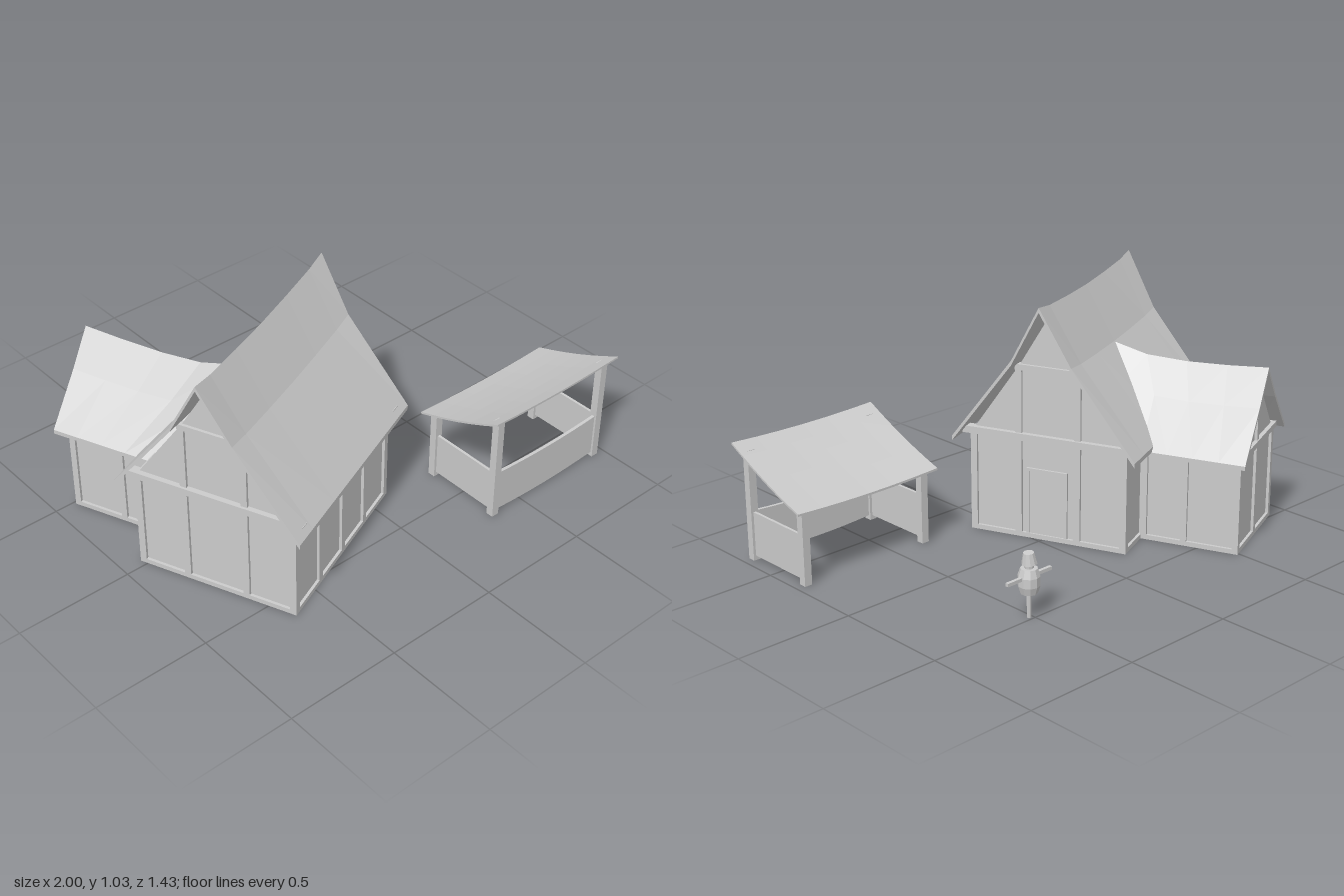
import * as THREE from 'three';

const mat = new THREE.MeshStandardMaterial({ color: 0xcccccc, flatShading: true });
const roofMat = new THREE.MeshStandardMaterial({ color: 0xcccccc, flatShading: true, side: THREE.DoubleSide });

function add(parent, name, geometry, x = 0, y = 0, z = 0, material = mat) {
  const mesh = new THREE.Mesh(geometry, material);
  mesh.name = name;
  mesh.position.set(x, y, z);
  parent.add(mesh);
  return mesh;
}

// Box given by its lower and upper corner
function bar(parent, name, x0, x1, y0, y1, z0, z1) {
  const g = new THREE.BoxGeometry(Math.abs(x1 - x0), y1 - y0, Math.abs(z1 - z0));
  return add(parent, name, g, (x0 + x1) / 2, (y0 + y1) / 2, (z0 + z1) / 2);
}

// Closed sheet of thickness t over a grid of points; at(i, j) gives [x, y, z]
function sheet(nx, nz, t, at) {
  const pos = [], idx = [], layer = (nx + 1) * (nz + 1);
  for (const drop of [0, t])
    for (let i = 0; i <= nx; i++)
      for (let j = 0; j <= nz; j++) {
        const [x, y, z] = at(i, j);
        pos.push(x, y - drop, z);
      }
  const id = (i, j) => i * (nz + 1) + j;
  const quad = (a, b, c, d) => idx.push(a, b, c, a, c, d);
  for (let i = 0; i < nx; i++)
    for (let j = 0; j < nz; j++) {
      const [a, b, c, d] = [id(i, j), id(i, j + 1), id(i + 1, j + 1), id(i + 1, j)];
      quad(a, b, c, d);
      quad(d + layer, c + layer, b + layer, a + layer);
    }
  const rim = (a, b) => quad(a, a + layer, b + layer, b);
  for (let i = 0; i < nx; i++) {
    rim(id(i, nz), id(i + 1, nz));
    rim(id(i + 1, 0), id(i, 0));
  }
  for (let j = 0; j < nz; j++) {
    rim(id(0, j), id(0, j + 1));
    rim(id(nx, j + 1), id(nx, j));
  }
  const g = new THREE.BufferGeometry();
  g.setAttribute('position', new THREE.Float32BufferAttribute(pos, 3));
  g.setIndex(idx);
  g.computeVertexNormals();
  return g;
}

// Solid house body: gabled section in x/y, extruded along z
function gabledBody(half, eave, kinkX, kinkY, apex, length) {
  const s = new THREE.Shape([[-half, 0], [half, 0], [half, eave], [kinkX, kinkY], [0, apex], [-kinkX, kinkY], [-half, eave]]
    .map(([x, y]) => new THREE.Vector2(x, y)));
  return new THREE.ExtrudeGeometry(s, { depth: length, bevelEnabled: false });
}

function mainHall(house) {
  const A = 0.406, B = 0.347, W = 0.028, R = 0.012;
  const body = gabledBody(B - R, 0.45, 0.125, 0.755, 0.965, 2 * (A - R));
  body.translate(0, 0, -(A - R)).rotateY(Math.PI / 2);
  add(house, 'hallWalls', body);

  // Long walls: five posts, sill and top plate
  for (const s of [-1, 1]) {
    for (let k = -2; k <= 2; k++) {
      const x = k * (A - W / 2) / 2;
      bar(house, 'wallPost', x - W / 2, x + W / 2, 0, 0.43, s * (B - W), s * B);
    }
    bar(house, 'sill', -A, A, 0, 0.02, s * (B - W), s * B);
    bar(house, 'topPlate', -A, A, 0.41, 0.44, s * (B - W), s * B);
  }
  // Gable ends: posts, sill, tie beam and collar beam
  for (const s of [-1, 1]) {
    const x0 = s * (A - W), x1 = s * A;
    bar(house, 'gableSill', x0, x1, 0, 0.02, -B, B);
    bar(house, 'tieBeam', x0, s * (A + 0.01), 0.43, 0.46, -0.38, 0.38);
    bar(house, 'collarBeam', x0, x1, 0.73, 0.755, -0.145, 0.145);
    for (const z of [-0.13, 0.13])
      bar(house, 'gablePost', x0, x1, 0, 0.74, z - W / 2, z + W / 2);
  }
  // Door with its frame
  bar(house, 'door', A - W, A - 0.007, 0.02, 0.3, -0.08, 0.09);
  for (const z of [-0.08, 0.09])
    bar(house, 'doorJamb', A - W, A - 0.002, 0.02, 0.31, z - 0.006, z + 0.006);
  bar(house, 'doorHead', A - W, A - 0.002, 0.298, 0.31, -0.08, 0.09);

  // Sagging, flared saddle roof
  const profile = [[-0.405, 0.43, 0.475, 0], [-0.13, 0.79, 0.475, 0.02], [0, 1.03, 0.497, 0.03], [0.13, 0.79, 0.475, 0.02], [0.4, 0.43, 0.475, 0]];
  const along = [-1, -0.78, -0.4, 0, 0.4, 0.78, 1];
  const sag = [0, 0.55, 0.85, 1, 0.85, 0.55, 0];
  add(house, 'hallRoof', sheet(6, 4, 0.02, (i, j) => {
    const [z, y, half, drop] = profile[j];
    return [along[i] * half, y - drop * sag[i], z];
  }), 0, 0, 0, roofMat);
}

function rearWing(house) {
  const H = 0.228, E = -0.768, W = 0.026, R = 0.012;
  add(house, 'wingWalls', gabledBody(H - R, 0.43, 0.11, 0.56, 0.685, 0.5), 0, 0, E + R);
  // Side walls
  for (const s of [-1, 1]) {
    for (const z of [E, -0.545, -0.37])
      bar(house, 'wingPost', s * (H - W), s * H, 0, 0.42, z, z + W);
    bar(house, 'wingSill', s * (H - W), s * H, 0, 0.02, E, -0.3);
    bar(house, 'wingTopPlate', s * (H - W), s * H, 0.4, 0.425, E, -0.3);
  }
  // Rear gable
  bar(house, 'wingGableSill', -H, H, 0, 0.02, E, E + W);
  bar(house, 'wingTieBeam', -H - 0.02, H + 0.02, 0.4, 0.425, E - 0.006, E + W);
  bar(house, 'wingKingPost', -W / 2, W / 2, 0, 0.68, E, E + W);

  // Roof running into the main roof slope
  const across = [[-0.28, 0.41, 0], [-0.11, 0.6, 0.7], [0, 0.74, 1], [0.11, 0.6, 0.7], [0.28, 0.41, 0]];
  const back = -0.8, front = [-0.36, -0.2, -0.1, -0.2, -0.36];
  const rise = [0, -0.012, -0.018, -0.01, 0.035];
  add(house, 'wingRoof', sheet(4, 4, 0.018, (i, j) => {
    const [x, y, k] = across[i];
    return [x, y + rise[j] * k, back + (front[i] - back) * j / 4];
  }), 0, 0, 0, roofMat);
}

function marketStall() {
  const stall = new THREE.Group();
  stall.name = 'stall';
  stall.position.set(0.647, 0, 0.505);
  for (const s of [-1, 1]) {
    bar(stall, 'stallFrontPost', s * 0.284, s * 0.318, 0, 0.475, 0.155, 0.188);
    bar(stall, 'stallRearPost', s * 0.284, s * 0.318, 0, 0.33, -0.188, -0.155);
    bar(stall, 'sidePanel', s * 0.295, s * 0.307, 0.02, 0.21, -0.16, 0.16);
  }
  // Front counter panel, sagging in the middle
  const g = new THREE.BoxGeometry(0.58, 0.19, 0.014, 8);
  const p = g.attributes.position;
  for (let i = 0; i < p.count; i++)
    p.setY(i, p.getY(i) - 0.012 * (1 - (p.getX(i) / 0.29) ** 2));
  add(stall, 'counterPanel', g, 0, 0.115, 0.172);
  // Lean-to roof, high at the front
  add(stall, 'stallRoof', sheet(6, 6, 0.009, (i, j) => {
    const x = -1 + i / 3, t = j / 6;
    return [x * 0.352, 0.325 + 0.18 * t - 0.045 * t * (1 - t) - 0.01 * (1 - x * x), -0.213 + 0.425 * t];
  }), 0, 0, 0, roofMat);
  return stall;
}

function scarecrow() {
  const crow = new THREE.Group();
  crow.name = 'scarecrow';
  crow.position.set(0.515, 0, -0.482);
  add(crow, 'pole', new THREE.CylinderGeometry(0.009, 0.009, 0.24, 6), 0, 0.12, 0);
  bar(crow, 'arms', -0.113, 0.113, 0.163, 0.177, -0.007, 0.007);
  const barrel = [[0, 0.103], [0.034, 0.103], [0.044, 0.135], [0.044, 0.173], [0.034, 0.205], [0, 0.205]];
  add(crow, 'body', new THREE.LatheGeometry(barrel.map(([x, y]) => new THREE.Vector2(x, y)), 10));
  add(crow, 'head', new THREE.CylinderGeometry(0.02, 0.018, 0.04, 8), 0, 0.225, 0);
  const hat = add(crow, 'bucketHat', new THREE.CylinderGeometry(0.021, 0.031, 0.046, 10), 0, 0.245, 0);
  hat.rotation.z = -0.1;
  return crow;
}

export function createModel() {
  const model = new THREE.Group();
  model.name = 'farmstead';
  const house = new THREE.Group();
  house.name = 'house';
  house.position.set(-0.405, 0, 0.135);
  house.rotation.y = Math.PI / 8;
  mainHall(house);
  rearWing(house);
  model.add(house, marketStall(), scarecrow());
  return model;
}
